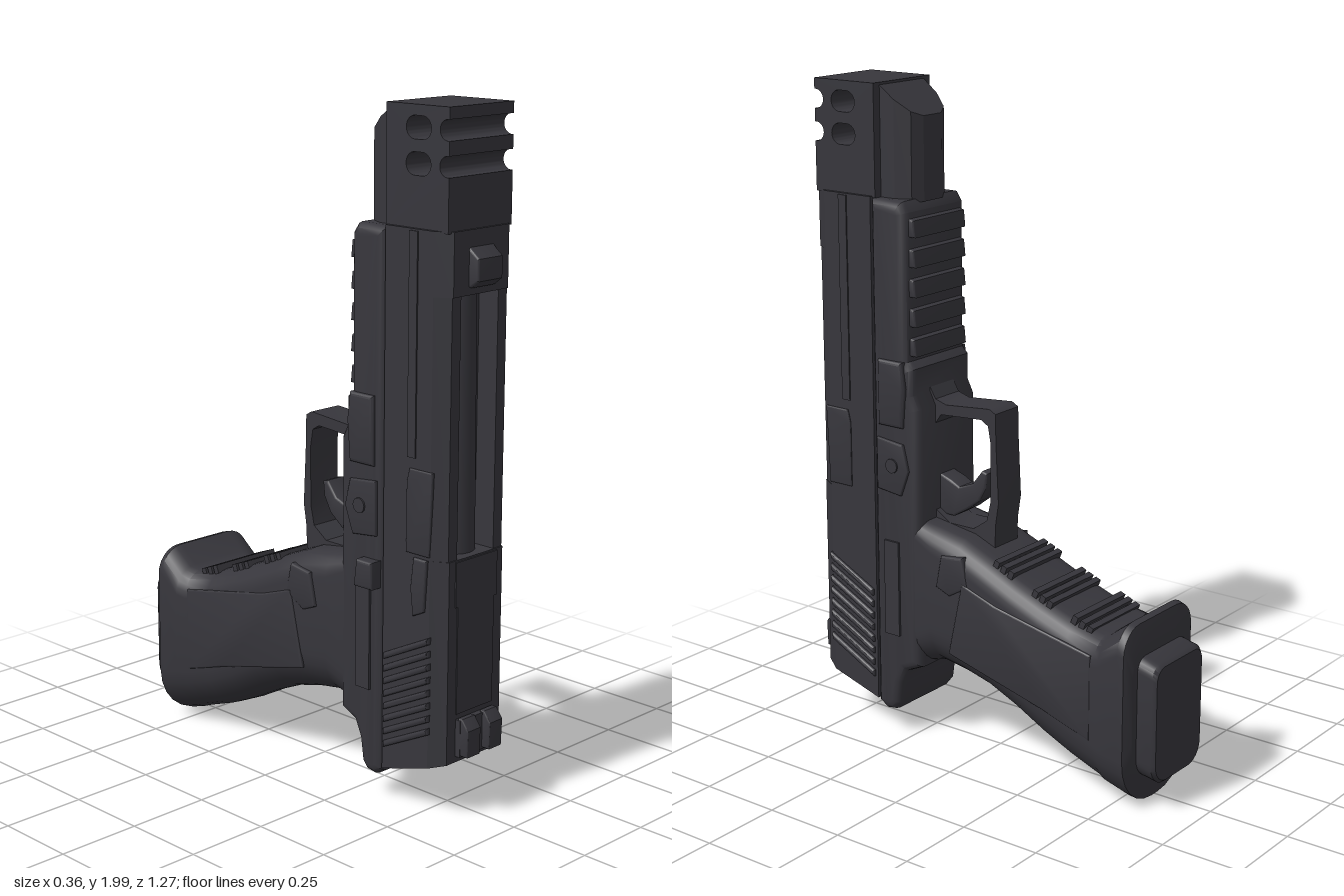
import * as THREE from 'three';
import { toCreasedNormals } from 'three/addons/utils/BufferGeometryUtils.js';

const gunmetal = new THREE.MeshStandardMaterial({ color: 0x37363c });
gunmetal.name = 'gunmetal';

const toShape = (pts) => new THREE.Shape(pts.map(([a, b]) => new THREE.Vector2(a, b)));

// Side outline in (z, y), extruded symmetrically across x
function sidePlate(pts, halfWidth, bevel = 0.01, holes = [], cx = 0) {
  const shape = pts instanceof THREE.Shape ? pts : toShape(pts);
  shape.holes.push(...holes);
  const g = new THREE.ExtrudeGeometry(shape, {
    depth: 2 * (halfWidth - bevel), bevelEnabled: bevel > 0, bevelThickness: bevel,
    bevelSize: bevel, bevelOffset: -bevel, bevelSegments: 3, curveSegments: 10,
  });
  g.translate(0, 0, -(halfWidth - bevel));
  g.rotateY(-Math.PI / 2);
  g.translate(cx, 0, 0);
  return toCreasedNormals(g, 0.6);
}

// Cross-section in (x, z), extruded upwards
function upright(pts, y0, y1) {
  const g = new THREE.ExtrudeGeometry(toShape(pts.map(([x, z]) => [x, -z])), { depth: y1 - y0, bevelEnabled: false });
  g.rotateX(-Math.PI / 2);
  g.translate(0, y0, 0);
  return g;
}

// Loft of rounded sections [z, yTop, yBottom, halfWidth, rTop, rBottom] running towards -z
function loft(sections) {
  const n = 6, pos = [], idx = [], count = 4 * (n + 1);
  for (const [z, top, bot, hw, rt, rb] of sections) {
    const corners = [[hw - rt, top - rt, rt], [-hw + rt, top - rt, rt], [-hw + rb, bot + rb, rb], [hw - rb, bot + rb, rb]];
    corners.forEach(([x, y, r], k) => {
      for (let i = 0; i <= n; i++) {
        const a = (k + i / n) * Math.PI / 2;
        pos.push(x + r * Math.cos(a), y + r * Math.sin(a), z);
      }
    });
  }
  for (let s = 0; s < sections.length - 1; s++) {
    for (let j = 0; j < count; j++) {
      const a = s * count + j, b = s * count + (j + 1) % count;
      idx.push(a, a + count, b, b, a + count, b + count);
    }
  }
  const last = (sections.length - 1) * count;
  for (let j = 1; j < count - 1; j++) {
    idx.push(0, j, j + 1, last, last + j + 1, last + j);
  }
  const g = new THREE.BufferGeometry();
  g.setAttribute('position', new THREE.Float32BufferAttribute(pos, 3));
  g.setIndex(idx);
  return toCreasedNormals(g, 0.7);
}

export function createModel() {
  const model = new THREE.Group();
  const add = (name, geometry) => {
    const m = new THREE.Mesh(geometry, gunmetal);
    m.name = name;
    model.add(m);
    return m;
  };
  const box = (name, w, h, d, x, y, z) => {
    const m = add(name, new THREE.BoxGeometry(w, h, d));
    m.position.set(x, y, z);
    return m;
  };

  // Slide: solid ends with an open channel between them
  const solid = [[-0.138, 0.37], [0.138, 0.37], [0.138, 0.545], [0.11, 0.592], [-0.11, 0.592], [-0.138, 0.545]];
  const channel = [[-0.138, 0.37], [0.138, 0.37], [0.138, 0.545], [0.11, 0.588], [0.075, 0.588],
    [0.075, 0.52], [-0.075, 0.52], [-0.075, 0.588], [-0.11, 0.588], [-0.138, 0.545]];
  const rear = upright(solid, 0.11, 0.77);
  const p = rear.attributes.position;
  for (let i = 0; i < p.count; i++) {
    if (p.getY(i) < 0.2) p.setY(i, 0.11 + (p.getZ(i) - 0.37) * 0.3);
  }
  rear.computeVertexNormals();
  add('slideRear', rear);
  add('slideChannel', upright(channel, 0.77, 1.5));
  add('slideFront', upright(solid, 1.5, 1.675));
  const barrel = add('barrel', new THREE.CylinderGeometry(0.055, 0.062, 0.75, 20));
  barrel.position.set(0, 1.135, 0.505);
  box('slideTopPanel', 0.15, 0.32, 0.006, 0, 0.48, 0.592);
  box('chamberHood', 0.17, 0.13, 0.01, 0, 0.7, 0.591);

  // Slanted slide serrations, slide rails and side fittings
  for (const s of [-1, 1]) {
    for (let i = 0; i < 8; i++) {
      const y = 0.225 + i * 0.038;
      add('serration', sidePlate([[0.38, y - 0.045], [0.55, y + 0.04], [0.55, y + 0.06], [0.38, y - 0.025]],
        0.012, 0.008, [], s * 0.137));
    }
    box('slideRail', 0.008, 0.62, 0.03, s * 0.138, 1.36, 0.475);
    add('ejectionPanel', sidePlate([[0.555, 1.02], [0.47, 1.02], [0.46, 0.98], [0.46, 0.78], [0.545, 0.78]],
      0.006, 0.004, [], s * 0.138));
    box('framePlate', 0.012, 0.3, 0.055, s * 0.144, 0.49, 0.3);
    add('takedownBump', sidePlate([[0.34, 1.2], [0.25, 1.2], [0.24, 1.12], [0.25, 1.0], [0.34, 1.0]],
      0.014, 0.01, [], s * 0.142));
    add('framePin', new THREE.CylinderGeometry(0.022, 0.022, 0.02, 12).rotateZ(Math.PI / 2))
      .position.set(s * 0.147, 0.88, 0.29);
    add('frameBoss', sidePlate([[0.35, 0.96], [0.25, 0.95], [0.23, 0.87], [0.26, 0.79], [0.35, 0.8]],
      0.01, 0.006, [], s * 0.142));
    // Grip side panel and catch
    add('gripPanel', sidePlate([[0.02, 0.57], [-0.1, 0.53], [-0.44, 0.46], [-0.44, 0.2], [-0.28, 0.25], [0.07, 0.34]],
      0.007, 0.005, [], s * 0.159));
    add('gripCatch', sidePlate([[0.1, 0.64], [0.02, 0.65], [0.0, 0.56], [0.07, 0.52], [0.12, 0.54]],
      0.014, 0.008, [], s * 0.15));
  }
  add('slideStop', sidePlate([[0.54, 0.77], [0.49, 0.77], [0.48, 0.68], [0.49, 0.6], [0.53, 0.62]],
    0.01, 0.006, [], -0.138));
  add('slideLever', sidePlate([[0.36, 0.73], [0.3, 0.73], [0.29, 0.65], [0.36, 0.65]], 0.025, 0.008, [], -0.153));

  // Sights
  add('frontSight', sidePlate([[0.58, 1.64], [0.6, 1.62], [0.625, 1.6], [0.625, 1.54], [0.6, 1.52], [0.58, 1.52]], 0.05, 0.006));
  box('rearSightBase', 0.15, 0.11, 0.03, 0, 0.25, 0.595);
  for (const s of [-1, 1]) {
    add('rearSightPost', sidePlate([[0.6, 0.31], [0.615, 0.31], [0.638, 0.28], [0.635, 0.2], [0.6, 0.2]], 0.028, 0.004, [], s * 0.046));
  }

  // Muzzle compensator with through ports and open notches
  const slot = (y) => {
    const h = new THREE.Path();
    h.absarc(0.49, y, 0.031, -Math.PI / 2, Math.PI / 2, false);
    h.absarc(0.463, y, 0.031, Math.PI / 2, Math.PI * 1.5, false);
    h.closePath();
    return h;
  };
  const comp = new THREE.Shape();
  comp.moveTo(0.36, 1.67);
  comp.lineTo(0.585, 1.67);
  for (const y of [1.845, 1.94]) {
    comp.lineTo(0.585, y - 0.028);
    comp.absarc(0.58, y, 0.028, -Math.PI / 2, -Math.PI * 1.5, true);
    comp.lineTo(0.585, y + 0.028);
  }
  comp.lineTo(0.585, 2);
  comp.lineTo(0.36, 2);
  add('compensator', sidePlate(comp, 0.127, 0, [slot(1.845), slot(1.94)]));
  const lug = upright([[-0.1, 0.37], [-0.098, 0.31], [-0.075, 0.265], [-0.04, 0.247],
    [0.04, 0.247], [0.075, 0.265], [0.098, 0.31], [0.1, 0.37]], 1.66, 2);
  const lp = lug.attributes.position;
  for (let i = 0; i < lp.count; i++) {
    if (lp.getY(i) > 1.9) lp.setY(i, 2 - (0.37 - lp.getZ(i)) * 0.75);
  }
  lug.computeVertexNormals();
  add('compensatorLug', lug);

  // Frame with dust cover and rounded rear tang
  add('frame', sidePlate([[0.372, 1.67], [0.26, 1.67], [0.24, 1.64], [0.24, 1.2], [0.22, 1.18], [0.22, 1.1],
    [0.2, 1.06], [0.2, 0.25], [0.255, 0.225], [0.275, 0.18], [0.285, 0.11], [0.305, 0.085], [0.34, 0.08], [0.372, 0.1]],
  0.143, 0.028));
  for (let i = 0; i < 5; i++) {
    add('railTooth', sidePlate([[0.28, 0.065], [0.225, 0.05], [0.22, 0.0], [0.28, 0.0]], 0.12, 0.006))
      .position.y = 1.215 + i * 0.088;
  }

  // Trigger guard and trigger
  const guardHole = new THREE.Path([[0.205, 1.0], [0.18, 1.035], [0.03, 1.045], [0.005, 1.03], [-0.004, 0.98], [-0.004, 0.8],
    [0.01, 0.74], [0.06, 0.705], [0.15, 0.705], [0.205, 0.74]].map(([a, b]) => new THREE.Vector2(a, b)));
  add('triggerGuard', sidePlate([[0.23, 1.13], [0.2, 1.08], [0.16, 1.068], [0.0, 1.082], [-0.022, 1.07], [-0.024, 0.98],
    [-0.033, 0.8], [-0.022, 0.73], [-0.02, 0.64], [0.23, 0.64]], 0.055, 0, [guardHole]));
  add('trigger', sidePlate([[0.22, 0.72], [0.15, 0.72], [0.1, 0.75], [0.055, 0.785], [0.03, 0.83], [0.025, 0.875],
    [0.045, 0.88], [0.08, 0.835], [0.13, 0.815], [0.16, 0.83], [0.22, 0.85]], 0.035, 0.006));

  // Grip flaring into the magazine well
  add('grip', loft([
    [0.28, 0.73, 0.2, 0.13, 0.04, 0.1],
    [0.22, 0.715, 0.245, 0.14, 0.05, 0.11],
    [0.15, 0.705, 0.262, 0.15, 0.07, 0.13],
    [0.05, 0.69, 0.247, 0.16, 0.08, 0.14],
    [-0.05, 0.65, 0.222, 0.162, 0.08, 0.14],
    [-0.15, 0.605, 0.178, 0.162, 0.08, 0.14],
    [-0.25, 0.565, 0.125, 0.162, 0.08, 0.14],
    [-0.35, 0.53, 0.08, 0.162, 0.08, 0.14],
    [-0.45, 0.51, 0.045, 0.165, 0.08, 0.14],
    [-0.475, 0.52, 0.035, 0.177, 0.08, 0.15],
    [-0.54, 0.57, 0.012, 0.178, 0.08, 0.16],
    [-0.56, 0.565, 0.008, 0.175, 0.08, 0.16],
    [-0.575, 0.5, 0.09, 0.15, 0.08, 0.13],
  ]));
  add('magazineBase', loft([
    [-0.56, 0.475, 0.1, 0.125, 0.04, 0.07],
    [-0.625, 0.46, 0.088, 0.125, 0.04, 0.07],
    [-0.636, 0.45, 0.098, 0.117, 0.04, 0.06],
  ]));

  // Finger ridges following the slope of the front strap
  for (const [z, y] of [[-0.1, 0.628], [-0.24, 0.569], [-0.38, 0.524]]) {
    for (let i = -1; i <= 1; i++) {
      const r = box('fingerRidge', 0.24, 0.026, 0.018, 0, y + i * 0.01, z + i * 0.026);
      r.rotation.x = -0.38;
    }
  }
  return model;
}
